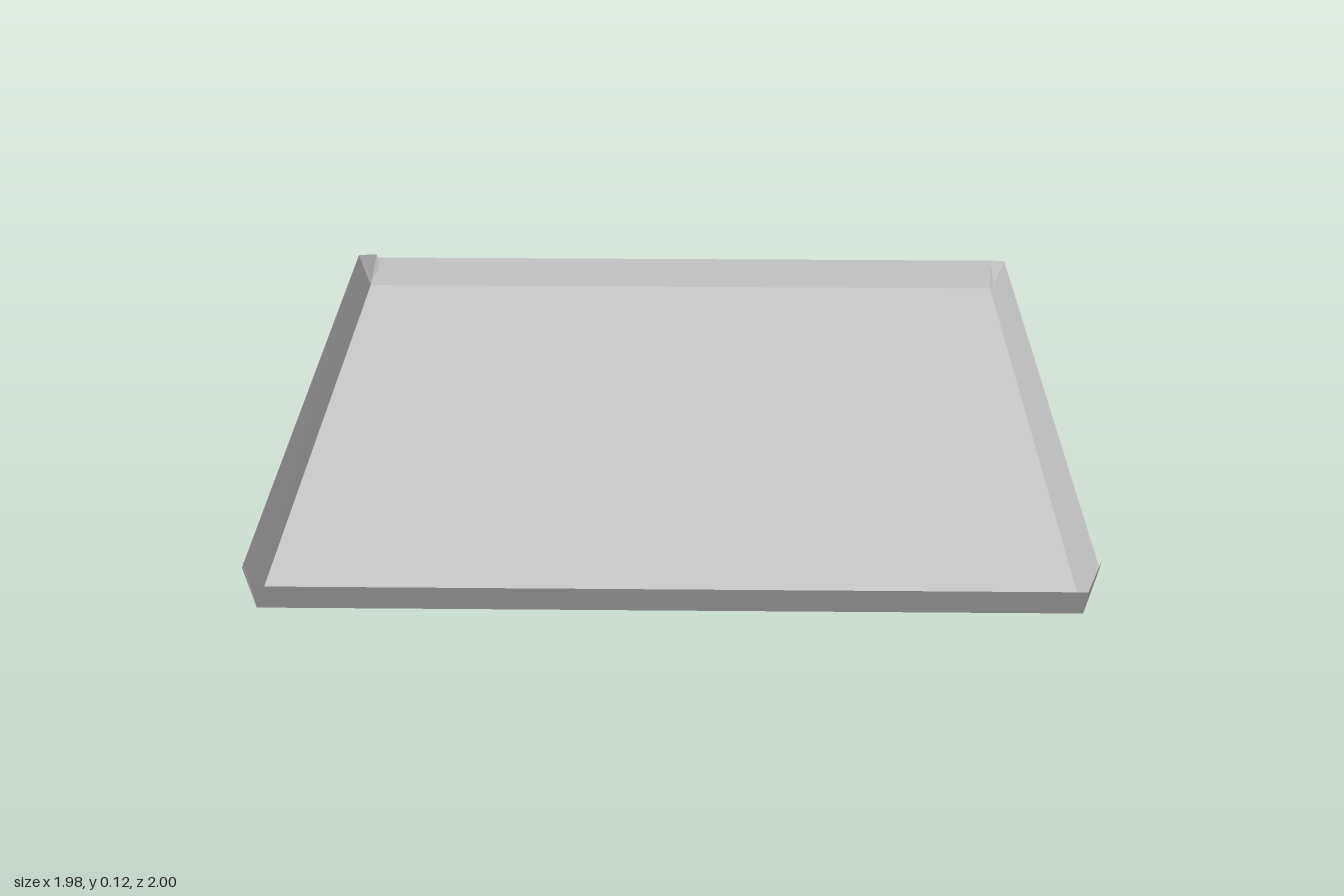
import * as THREE from 'three';

const material = new THREE.MeshStandardMaterial({ color: 0xcccccc, flatShading: true, side: THREE.DoubleSide });

// Flat panel of thin sheet: a fan of triangles around the first corner
function panel(name, corners) {
  const points = [];
  for (let i = 1; i < corners.length - 1; i++) points.push(...corners[0], ...corners[i], ...corners[i + 1]);
  const geometry = new THREE.BufferGeometry();
  geometry.setAttribute('position', new THREE.Float32BufferAttribute(points, 3));
  geometry.computeVertexNormals();
  const mesh = new THREE.Mesh(geometry, material);
  mesh.name = name;
  return mesh;
}

export function createModel() {
  const group = new THREE.Group();
  group.name = 'foldedTray';

  // Corners of the base
  const frontLeft = [0.95, 0, 0.96], frontRight = [-0.96, 0, 0.96];
  const backLeft = [0.95, 0, -0.97], backRight = [-0.96, 0, -0.97];

  // Upper corners of the front and back walls
  const frontLeftTop = [0.95, 0.08, 1], frontRightTop = [-0.96, 0.08, 1];
  const backLeftTop = [0.95, 0.08, -1], backRightTop = [-0.95, 0.08, -1];

  group.add(
    panel('base', [frontLeft, backLeft, backRight, frontRight]),

    // Walls leaning outward
    panel('frontWall', [frontRight, frontRightTop, frontLeftTop, frontLeft].reverse()),
    panel('backWall', [backLeft, backLeftTop, backRightTop, backRight].reverse()),
    panel('leftWall', [backLeft, [0.985, 0.1, -0.94], [0.985, 0.1, 0.92], frontLeft]),
    panel('rightWall', [frontRight, [-0.99, 0.095, 0.94], [-0.99, 0.1, -0.97], backRight]),

    // Corner tabs folded around the ends of the walls
    panel('frontLeftTab', [[0.958, 0.02, 0.95], frontLeft, frontLeftTop, [0.99, 0.12, 0.92], [0.99, 0.07, 0.89]]),
    panel('frontRightTab', [[-0.968, 0.02, 0.95], frontRight, frontRightTop, [-0.99, 0.105, 0.93], [-0.99, 0.06, 0.89]]),
    panel('backLeftTab', [[0.958, 0.02, -0.95], backLeft, backLeftTop, [0.985, 0.1, -0.95], [0.99, 0.06, -0.89]]),
    panel('backRightTab', [[-0.955, 0.02, -0.975], backRight, [-0.99, 0.1, -0.97], [-0.94, 0.09, -1], [-0.93, 0.05, -0.99]])
  );
  return group;
}
